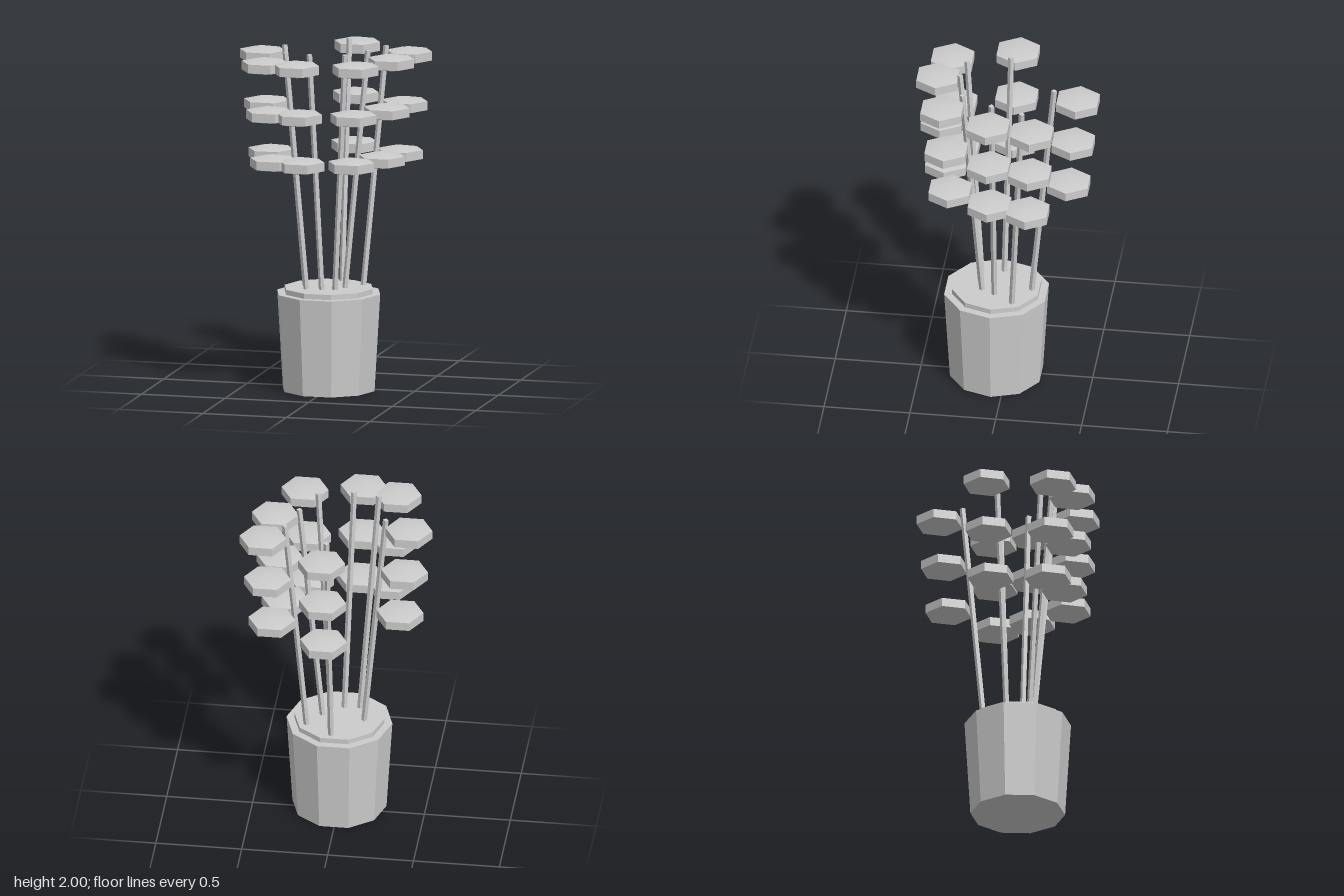
import * as THREE from 'three';
import { toCreasedNormals } from 'three/addons/utils/BufferGeometryUtils.js';

const POT_Z = 0.06;       // the pot sits slightly forward
const SOIL_Y = 0.6;
const STEM_TOP = 2;
const LEAF_LEVELS = [1.36, 1.645, 1.935];
const LEAF_REACH = 0.146; // leaf centre, outward from the stem

// [base x, base z, top x, top z] for each leaning stem
const STEMS = [
  [0.026, -0.148, 0.035, -0.28],
  [0.18, -0.052, 0.296, -0.125],
  [0.1, 0.06, 0.236, 0.06],
  [0.06, 0.137, 0.148, 0.24],
  [-0.015, 0.153, -0.055, 0.28],
  [-0.105, 0.16, -0.203, 0.257],
  [-0.145, 0.033, -0.274, 0.011],
];

export function createModel() {
  const model = new THREE.Group();
  model.name = 'pottedPlant';
  const grey = new THREE.MeshStandardMaterial({ color: 0xcccccc });
  grey.name = 'grey';

  const add = (parent, name, geometry) => {
    const mesh = new THREE.Mesh(geometry, grey);
    mesh.name = name;
    parent.add(mesh);
    return mesh;
  };

  // Ten-sided prism with a flat face to the front
  const tenSided = (top, bottom, height) => toCreasedNormals(
    new THREE.CylinderGeometry(top, bottom, height, 10, 1, false, Math.PI / 10), 0.3);

  // Tapered pot and the soil standing just above its rim
  add(model, 'pot', tenSided(0.308, 0.274, 0.57)).position.set(0.002, 0.285, POT_Z);
  add(model, 'soil', tenSided(0.263, 0.263, 0.05)).position.set(0.002, SOIL_Y - 0.025, POT_Z);

  // Hexagonal leaf: flattened coarse ball with shallow domed faces
  const leafGeometry = toCreasedNormals(
    new THREE.SphereGeometry(0.158, 6, 3).scale(1, 0.33, 1), 0.5);

  // Stems, each carrying three leaves on its outer side
  STEMS.forEach(([bx, bz, tx, tz]) => {
    const plant = new THREE.Group();
    plant.name = 'leafyStem';
    model.add(plant);

    const base = new THREE.Vector3(bx, SOIL_Y, bz);
    const top = new THREE.Vector3(tx, STEM_TOP, tz);
    const along = top.clone().sub(base);
    const outward = new THREE.Vector3(along.x, 0, along.z).normalize();

    const stem = add(plant, 'stem', toCreasedNormals(
      new THREE.CylinderGeometry(0.017, 0.017, along.length(), 4), 0.5));
    stem.position.copy(base).add(top).multiplyScalar(0.5);
    stem.quaternion.setFromUnitVectors(new THREE.Vector3(0, 1, 0), along.clone().normalize());

    LEAF_LEVELS.forEach((y) => {
      const t = (y - SOIL_Y) / (STEM_TOP - SOIL_Y);
      add(plant, 'leaf', leafGeometry).position
        .copy(base).addScaledVector(along, t).addScaledVector(outward, LEAF_REACH);
    });
  });

  return model;
}
